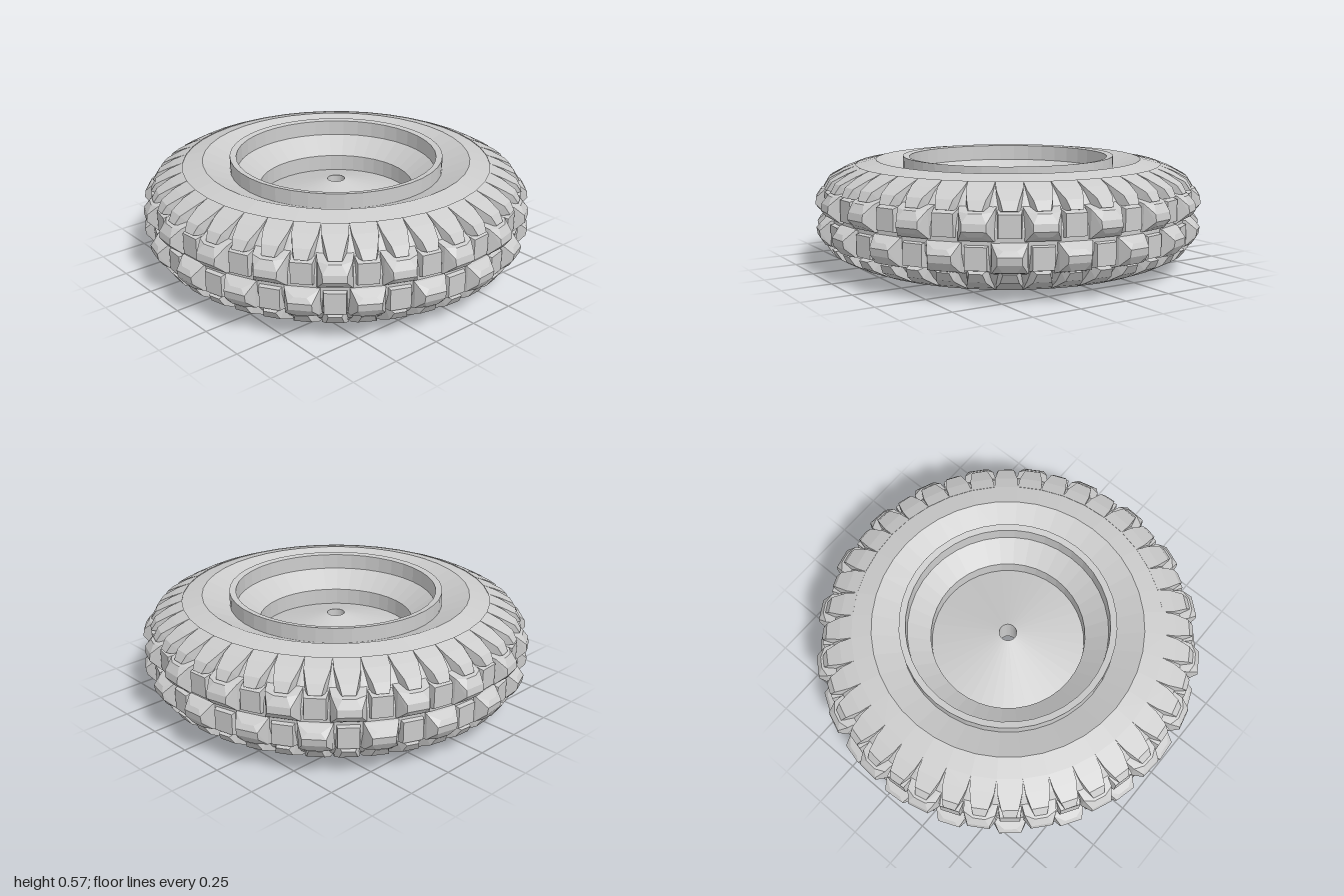
import * as THREE from 'three';
import { ConvexGeometry } from 'three/addons/geometries/ConvexGeometry.js';

const material = new THREE.MeshStandardMaterial({ color: 0xcccccc, flatShading: true });
const MID = 0.285; // height of the wheel's centre plane
const LUGS = 20; // lugs per tread row
const STEP = (Math.PI * 2) / LUGS;

function lathe(name, profile, segments) {
  const points = profile.map(([r, y]) => new THREE.Vector2(r, y));
  const mesh = new THREE.Mesh(new THREE.LatheGeometry(points, segments), material);
  mesh.name = name;
  return mesh;
}

// Convex block from rows of [half width, height, radius], mirrored sideways
function block(rows) {
  const points = [];
  for (const [w, y, r] of rows) {
    points.push(new THREE.Vector3(-w, y - MID, r), new THREE.Vector3(w, y - MID, r));
  }
  return new ConvexGeometry(points);
}

// Repeat a block around the wheel
function ring(name, geometry, count, start) {
  const group = new THREE.Group();
  group.name = name;
  for (let i = 0; i < count; i++) {
    const mesh = new THREE.Mesh(geometry, material);
    mesh.name = name + 'Block';
    mesh.rotation.y = start + (i * Math.PI * 2) / count;
    group.add(mesh);
  }
  return group;
}

// One half of the tread: main lugs, lower blocks between them, shoulder lugs
function treadHalf() {
  const half = new THREE.Group();
  half.name = 'treadHalf';
  const mainLug = block([
    [0.085, 0.285, 0.9], [0.085, 0.44, 0.88],
    [0.08, 0.29, 0.945], [0.078, 0.42, 0.945],
    [0.03, 0.315, 0.985], [0.055, 0.34, 1.0],
    [0.055, 0.375, 0.995], [0.03, 0.415, 0.97],
  ]);
  const betweenBlock = block([
    [0.06, 0.295, 0.9], [0.06, 0.43, 0.88],
    [0.05, 0.305, 0.955], [0.05, 0.41, 0.955],
  ]);
  const shoulderLug = block([
    [0.062, 0.533, 0.79], [0.062, 0.48, 0.8],
    [0.06, 0.508, 0.855], [0.042, 0.468, 0.93],
    [0.03, 0.425, 0.957], [0.055, 0.41, 0.88],
  ]);
  const start = -STEP / 4;
  half.add(
    ring('mainLug', mainLug, LUGS, start),
    ring('betweenLug', betweenBlock, LUGS, start + STEP / 2),
    ring('shoulderLug', shoulderLug, LUGS * 2, start)
  );
  return half;
}

export function createModel() {
  const wheel = new THREE.Group();
  wheel.name = 'wheel';

  // Tyre body, with side walls dished towards the rim
  const upper = [
    [0.935, 0.34], [0.905, 0.425], [0.865, 0.48],
    [0.8, 0.527], [0.69, 0.555], [0.54, 0.49],
  ];
  const lower = upper.map(([r, y]) => [r, 2 * MID - y]).reverse();
  wheel.add(lathe('tyre', [...lower, ...upper], 40));

  // Rim with stepped bowl, coned floor, axle hole and hollow underside
  wheel.add(lathe('rim', [
    [0.55, 0], [0.55, 0.57], [0.517, 0.565], [0.515, 0.485],
    [0.4, 0.4], [0.4, 0.315], [0.045, 0.425], [0.045, 0.25],
    [0.08, 0.215], [0.44, 0.2], [0.515, 0.005], [0.55, 0],
  ], 40));

  // Tread halves, the lower one turned over so its lugs are staggered
  const top = treadHalf();
  const bottom = treadHalf();
  top.position.y = bottom.position.y = MID;
  bottom.rotation.z = Math.PI;
  wheel.add(top, bottom);
  return wheel;
}
